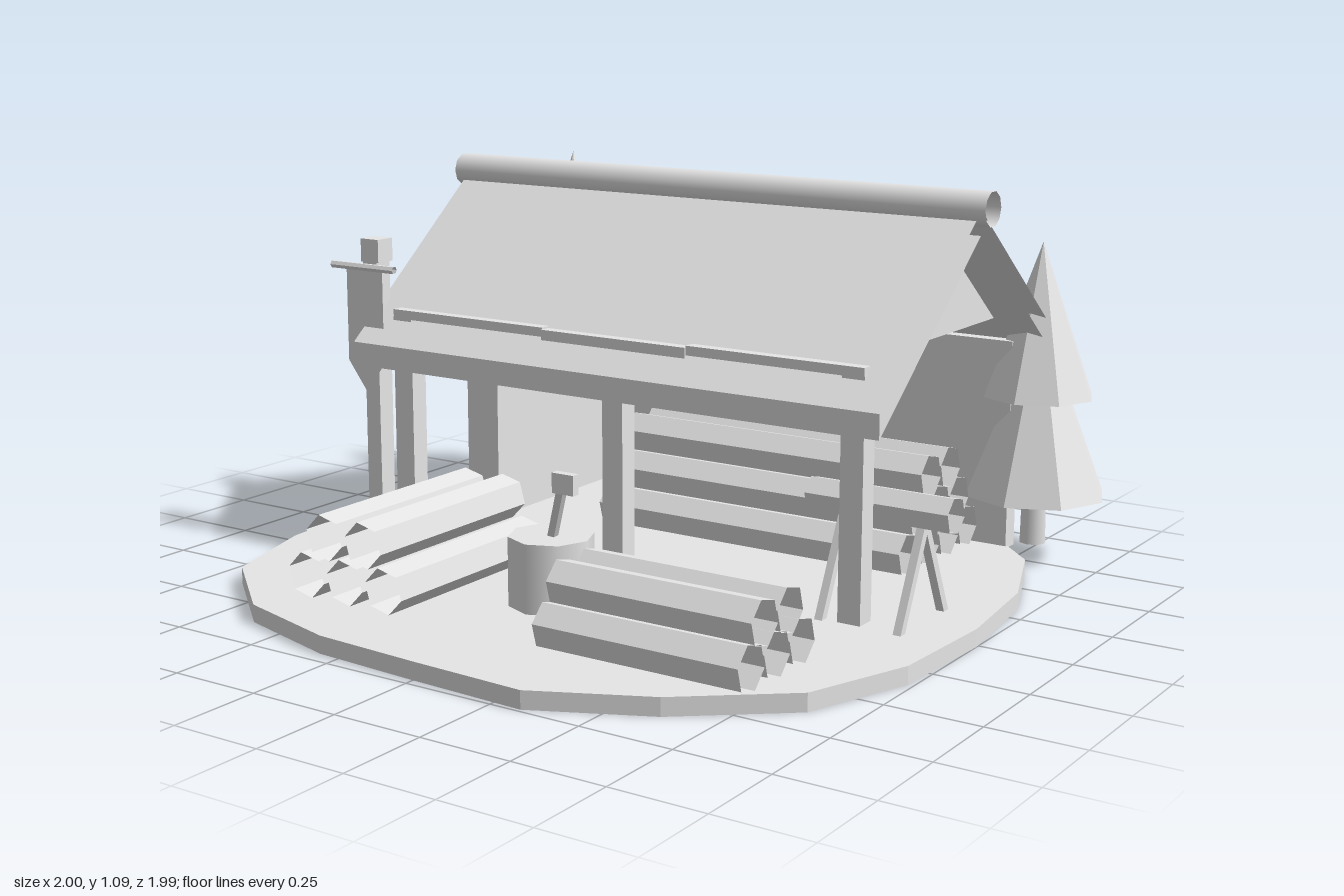
import * as THREE from 'three';

export function createModel() {
  const model = new THREE.Group();
  const grey = new THREE.MeshStandardMaterial({ color: 0xe6e6e6, side: THREE.DoubleSide });
  grey.name = 'plainGrey';

  const add = (name, geo, x = 0, y = 0, z = 0) => {
    const mesh = new THREE.Mesh(geo, grey);
    mesh.name = name;
    mesh.position.set(x, y, z);
    model.add(mesh);
    return mesh;
  };
  const flat = (geo) => {
    const g = geo.toNonIndexed();
    g.computeVertexNormals();
    return g;
  };
  // Box given by its limits
  const box = (name, x0, x1, y0, y1, z0, z1) =>
    add(name, new THREE.BoxGeometry(x1 - x0, y1 - y0, z1 - z0), (x0 + x1) / 2, (y0 + y1) / 2, (z0 + z1) / 2);
  // Square bar between two points
  const bar = (name, a, b, w) => {
    const from = new THREE.Vector3(...a), to = new THREE.Vector3(...b);
    const mesh = add(name, new THREE.BoxGeometry(w, from.distanceTo(to), w));
    mesh.position.copy(from).add(to).multiplyScalar(0.5);
    mesh.quaternion.setFromUnitVectors(new THREE.Vector3(0, 1, 0), to.sub(from).normalize());
    return mesh;
  };
  // Open-ended six-sided log lying along x or z, slightly rolled
  const log = (name, axis, length, r, x, y, z) => {
    const g = flat(new THREE.CylinderGeometry(r, r, length, 6, 1, true));
    g.rotateX(Math.PI / 2).rotateZ(0.28);
    if (axis === 'x') g.rotateY(Math.PI / 2);
    return add(name, g, x, y, z);
  };

  // Ground slab with an uneven rim
  const rim = [[0, -1], [0.32, -0.97], [0.62, -0.84], [0.85, -0.61], [0.96, -0.32], [1, 0.01], [0.985, 0.35],
    [0.88, 0.64], [0.62, 0.85], [0.33, 0.99], [0, 0.975], [-0.31, 0.955], [-0.62, 0.865], [-0.88, 0.64],
    [-0.975, 0.33], [-1, 0], [-0.96, -0.33], [-0.84, -0.64], [-0.62, -0.85], [-0.32, -0.97]];
  const ground = new THREE.ExtrudeGeometry(
    new THREE.Shape(rim.map(([x, z]) => new THREE.Vector2(x, -z))), { depth: 0.047, bevelEnabled: false });
  add('ground', ground.rotateX(-Math.PI / 2));

  // Roof: slabs open at both ends, swept along x from a (z, y) outline
  const outline = [[-0.3, 1.04], [0.23, 0.61], [0.23, 0.545], [-0.3, 0.975], [-0.845, 0.545], [-0.845, 0.61]];
  const pos = [];
  outline.forEach(([z, y], i) => {
    const [w, v] = outline[(i + 1) % outline.length];
    const a = -0.82, b = 0.832;
    pos.push(a, y, z, a, v, w, b, v, w, a, y, z, b, v, w, b, y, z);
  });
  const roof = new THREE.BufferGeometry();
  roof.setAttribute('position', new THREE.Float32BufferAttribute(pos, 3));
  roof.computeVertexNormals();
  add('roof', roof);
  const ridge = new THREE.CylinderGeometry(0.047, 0.047, 1.704, 10, 1, true).rotateZ(Math.PI / 2);
  add('ridgePole', ridge, 0.008, 1.044, -0.308);

  // Thin gables and roof battens
  const gable = new THREE.Shape([new THREE.Vector2(-0.12, 0.7), new THREE.Vector2(0.72, 0.7), new THREE.Vector2(0.3, 1.037)]);
  for (const x of [-0.705, 0.715]) add('gable', new THREE.ShapeGeometry(gable).rotateY(Math.PI / 2), x);
  for (const s of [1, -1]) {
    const z = -0.3 + s * 0.445;
    box('roofBatten', -0.735, -0.22, 0.675, 0.7, z - 0.02, z + 0.012);
    box('roofBatten', 0.235, 0.75, 0.675, 0.7, z - 0.02, z + 0.012);
    box('roofBattenMiddle', -0.22, 0.235, 0.667, 0.695, z - 0.016, z + 0.016);
  }

  // Posts and walls
  for (const x of [-0.704, 0.007, 0.72]) box('frontPost', x - 0.032, x + 0.032, 0.04, 0.68, 0.1, 0.157);
  box('backPost', -0.023, 0.037, 0.04, 0.64, -0.775, -0.7);
  box('backWall', -0.73, 0.75, 0.04, 0.63, -0.755, -0.7);
  box('sideWall', -0.73, -0.62, 0.04, 0.57, -0.7, -0.16);

  // Sign post with pennant
  box('signPost', -0.845, -0.795, 0.04, 0.83, 0.1, 0.155);
  box('signPostCap', -0.85, -0.787, 0.825, 0.89, 0.096, 0.157);
  add('signRod', flat(new THREE.CylinderGeometry(0.011, 0.011, 0.225, 6, 1, true).rotateZ(Math.PI / 2)), -0.818, 0.815, 0.185);
  const pennant = new THREE.Shape([[-0.88, 0.815], [-0.88, 0.545], [-0.815, 0.46], [-0.75, 0.545], [-0.75, 0.815]]
    .map(([x, y]) => new THREE.Vector2(x, y)));
  add('pennant', new THREE.ShapeGeometry(pennant), 0, 0, 0.185);

  // Log piles
  for (let row = 0; row < 2; row++) {
    for (let i = 0; i < 3 - row; i++) {
      log('leftPileLog', 'z', 0.6, 0.061, -0.545 + 0.129 * (i + row / 2), 0.108 + 0.109 * row, 0.445);
      log('rightPileLog', 'x', 0.573, 0.061, 0.492, 0.108 + 0.091 * row, 0.49 + 0.115 * (i + row / 2));
    }
  }
  for (let row = 0; row < 3; row++) {
    for (let i = 0; i < 4 - row; i++) {
      log('shedPileLog', 'x', 0.965, 0.061, 0.178, 0.108 + 0.096 * row, -0.285 - 0.118 * (i + row / 2));
    }
  }

  // Sawhorse with a log on it
  log('sawhorseLog', 'x', 0.4, 0.049, 0.748, 0.333, 0.038);
  for (const x of [0.64, 0.86]) {
    for (const s of [1, -1]) bar('sawhorseLeg', [x, 0.008, 0.038 + s * 0.137], [x, 0.3, 0.038], 0.022);
  }

  // Chopping block and axe
  add('choppingBlock', new THREE.CylinderGeometry(0.112, 0.112, 0.19, 8), 0.007, 0.135, 0.43);
  bar('axeHandle', [0.01, 0.22, 0.43], [0.115, 0.4, 0.525], 0.02);
  box('axeHead', 0.09, 0.155, 0.375, 0.427, 0.515, 0.538);

  // Fir trees with hollow cones: [x, z, lower tip, upper base, upper tip]
  for (const [x, z, lowTip, base, tip] of [[-0.79, -0.78, 0.82, 0.57, 1.06], [0.792, -0.788, 0.7, 0.47, 0.9]]) {
    add('treeTrunk', new THREE.CylinderGeometry(0.034, 0.038, 0.3, 8, 1, true), x, 0.197, z);
    add('treeSkirt', flat(new THREE.ConeGeometry(0.202, lowTip - 0.19, 8, 1, true)), x, (lowTip + 0.19) / 2, z);
    add('treeTop', flat(new THREE.ConeGeometry(0.158, tip - base, 8, 1, true)), x, (tip + base) / 2, z);
  }
  return model;
}
